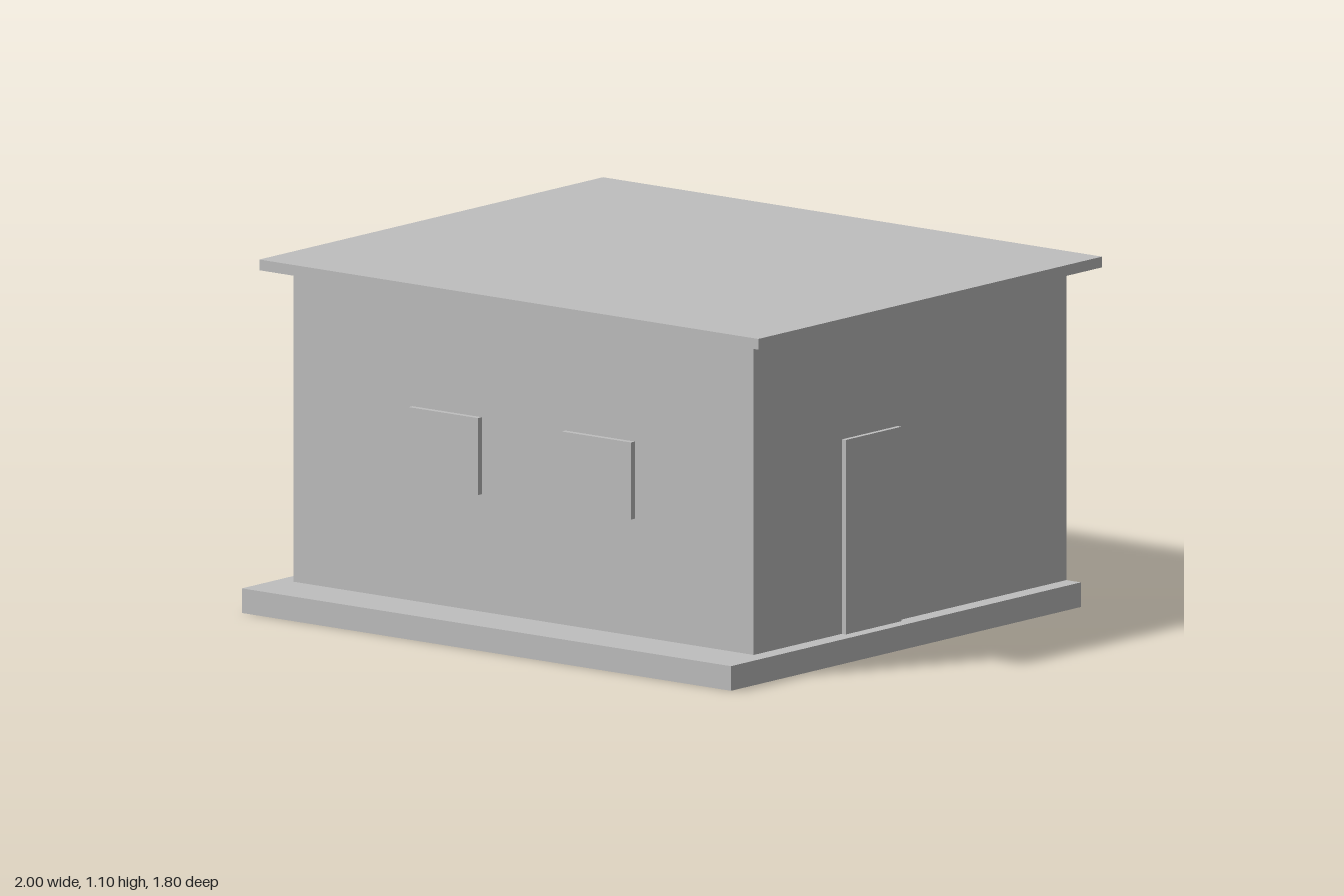
import * as THREE from 'three';

export function createModel() {
  const house = new THREE.Group();
  house.name = 'house';
  const plainGrey = new THREE.MeshStandardMaterial({ color: 0xbfbfbf });
  plainGrey.name = 'plainGrey';

  // Box spanning [min, max] on each axis
  const block = (name, [x0, x1], [y0, y1], [z0, z1]) => {
    const mesh = new THREE.Mesh(new THREE.BoxGeometry(x1 - x0, y1 - y0, z1 - z0), plainGrey);
    mesh.position.set((x0 + x1) / 2, (y0 + y1) / 2, (z0 + z1) / 2);
    mesh.name = name;
    house.add(mesh);
  };

  // Foundation slab with front porch, walls flush with its back, flat roof
  block('foundation', [-0.98, 0.98], [0, 0.078], [-0.82, 0.9]);
  block('walls', [-0.922, 0.922], [0.078, 1.066], [-0.82, 0.717]);
  block('roof', [-1, 1], [1.066, 1.1], [-0.9, 0.79]);

  // Door on the +x wall
  block('door', [0.922, 0.938], [0.078, 0.694], [0.01, 0.284]);

  // Paired windows on the front wall and the -x wall
  const height = [0.45, 0.694];
  const half = 0.139;
  for (const x of [-0.307, 0.307]) {
    block('frontWindow', [x - half, x + half], height, [0.717, 0.736]);
  }
  for (const z of [-0.31, 0.21]) {
    block('sideWindow', [-0.94, -0.922], height, [z - half, z + half]);
  }
  return house;
}
